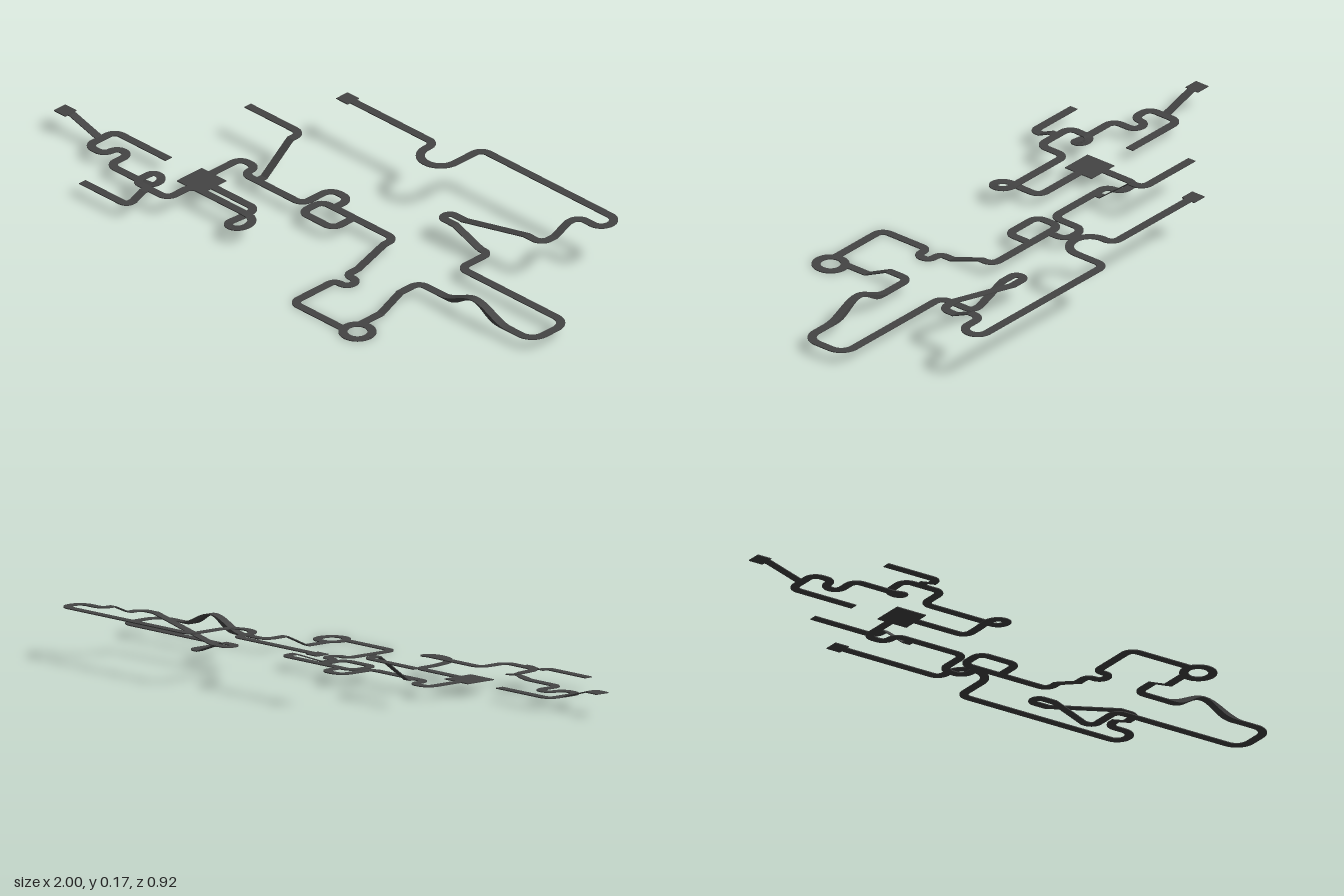
import * as THREE from 'three';

const WIDTH = 0.028;
const THICK = 0.003;
const BASE = 0.043;
const LOW = THICK;
const material = new THREE.MeshStandardMaterial({ color: 0x444444 });

// Turn [x, y, z, cornerRadius] waypoints into a centre line with rounded right-angle corners
function centreLine(points) {
  const v = points.map(([x, y, z]) => new THREE.Vector3(x, y, z));
  const flat = (a, b) => new THREE.Vector3(b.x - a.x, 0, b.z - a.z);
  const out = [v[0]];
  for (let i = 1; i < v.length - 1; i++) {
    const p = v[i], din = flat(v[i - 1], p), dout = flat(p, v[i + 1]);
    const l0 = din.length(), l1 = dout.length();
    din.normalize();
    dout.normalize();
    if (din.dot(dout) > 0.9) {
      out.push(p);
      continue;
    }
    const t = Math.min(points[i][3] ?? 0.03, l0 * 0.65, l1 * 0.65);
    const a = p.clone().lerp(v[i - 1], t / l0), b = p.clone().lerp(v[i + 1], t / l1);
    const c = a.clone().add(b).sub(p);
    const steps = 10;
    for (let k = 0; k <= steps; k++) {
      const s = k / steps, ang = s * Math.PI / 2;
      const q = c.clone().addScaledVector(dout, -t * Math.cos(ang)).addScaledVector(din, t * Math.sin(ang));
      q.y = a.y + (b.y - a.y) * s;
      out.push(q);
    }
  }
  out.push(v[v.length - 1]);
  return out.filter((p, i) => i === 0 || p.distanceTo(out[i - 1]) > 1e-5);
}

// Thin slab swept along a centre line; depth(s) is its thickness below the line
function ribbon(line, depth = () => THICK) {
  const pos = [], index = [], last = line.length - 1;
  line.forEach((p, i) => {
    const a = line[Math.max(i - 1, 0)], b = line[Math.min(i + 1, last)];
    const dx = b.x - a.x, dz = b.z - a.z, k = WIDTH / 2 / Math.hypot(dx, dz);
    const x = dz * k, z = -dx * k, low = p.y - depth(i / last);
    pos.push(p.x + x, p.y, p.z + z, p.x - x, p.y, p.z - z, p.x - x, low, p.z - z, p.x + x, low, p.z + z);
    if (i === 0) return;
    const n = 4 * i;
    for (let j = 0; j < 4; j++) {
      const m = (j + 1) % 4;
      index.push(n - 4 + j, n - 4 + m, n + m, n - 4 + j, n + m, n + j);
    }
  });
  const e = 4 * last;
  index.push(0, 2, 1, 0, 3, 2, e, e + 1, e + 2, e, e + 2, e + 3);
  const g = new THREE.BufferGeometry();
  g.setAttribute('position', new THREE.Float32BufferAttribute(pos, 3));
  g.setIndex(index);
  const faceted = g.toNonIndexed();
  faceted.computeVertexNormals();
  return faceted;
}

export function createModel() {
  const group = new THREE.Group();
  const add = (name, geometry) => {
    const mesh = new THREE.Mesh(geometry, material);
    mesh.name = name;
    group.add(mesh);
    return mesh;
  };
  const road = (name, points) => add(name, ribbon(centreLine(points)));
  const pad = (name, size, x, y, z) =>
    add(name, new THREE.BoxGeometry(size, THICK, size)).position.set(x, y - THICK / 2, z);

  // Square pads at the ends and the central plaza
  pad('upperEndPad', 0.05, -0.302, 0.17, -0.377);
  pad('leftEndPad', 0.05, -0.977, 0.077, 0.18);
  pad('plaza', 0.108, -0.42, BASE, 0.142);

  // Long road from the upper pad down its ramps to the hump
  road('upperRoad', [
    [-0.302, 0.17, -0.377], [0.081, 0.17, -0.377], [0.081, 0.17, -0.274, 0.063],
    [0.207, 0.17, -0.274, 0.063], [0.207, 0.17, -0.451], [0.807, 0.17, -0.451, 0.038],
    [0.807, 0.17, -0.375, 0.038], [0.707, 0.17, -0.375], [0.707, 0.17, -0.33],
    [0.707, 0.144, -0.27], [0.707, 0.144, -0.215], [0.64, 0.144, -0.215],
    [0.37, 0.084, -0.215], [0.307, 0.084, -0.215, 0.02], [0.307, 0.084, -0.175, 0.02],
    [0.37, 0.084, -0.175], [0.48, BASE, -0.175], [0.516, BASE, -0.175],
    [0.516, BASE, -0.051], [0.983, BASE, -0.051, 0.05], [0.983, BASE, 0.102, 0.05],
    [0.88, BASE, 0.102],
  ]);

  // Smooth hump on the straight, deeper along its slopes
  const hump = [];
  for (let i = 0; i <= 32; i++) {
    const s = i / 32;
    hump.push(new THREE.Vector3(0.88 - 0.29 * s, BASE + 0.022 * (1 - Math.cos(s * Math.PI * 2)), 0.102));
  }
  add('hump', ribbon(hump, (s) => THICK + 0.013 * Math.sin(s * Math.PI * 2) ** 2));

  // Ramp down from the hump to the roundabout
  road('roundaboutRamp', [
    [0.59, BASE, 0.102], [0.489, BASE, 0.102], [0.489, BASE, 0.185],
    [0.489, LOW, 0.27], [0.489, LOW, 0.36],
  ]);

  // Roundabout
  const ring = [];
  for (let i = 0; i <= 48; i++) {
    const a = i / 48 * Math.PI * 2;
    ring.push(new THREE.Vector3(0.515 + 0.045 * Math.cos(a), LOW, 0.397 + 0.045 * Math.sin(a)));
  }
  add('roundabout', ribbon(ring));

  // Road from the roundabout, past the side bulge, to the oval loop
  road('middleRoad', [
    [0.475, LOW, 0.415], [0.249, LOW, 0.415], [0.249, LOW, 0.23, 0.022], [0.302, LOW, 0.23, 0.024],
    [0.302, LOW, 0.18, 0.024], [0.249, LOW, 0.18, 0.022], [0.249, LOW, 0.13], [0.249, BASE, 0.015],
    [0.249, BASE, -0.033], [-0.07, BASE, -0.033], [-0.07, BASE, 0.058], [0.07, BASE, 0.058],
    [0.07, BASE, -0.033],
  ]);

  // Road from the oval loop to the plaza
  road('plazaRoad', [
    [-0.017, BASE, -0.033], [-0.017, BASE, -0.104, 0.035], [-0.102, BASE, -0.104, 0.035],
    [-0.102, BASE, 0.02], [-0.358, BASE, 0.02, 0.028], [-0.358, BASE, -0.037, 0.028],
    [-0.43, BASE, -0.037], [-0.43, BASE, 0.142],
  ]);

  // Raised dead end
  road('raisedSpur', [
    [-0.3, BASE, 0.02], [-0.3, BASE, -0.01], [-0.3, 0.132, -0.125],
    [-0.3, 0.132, -0.174], [-0.535, 0.132, -0.174],
  ]);

  // Elevated road: climbs the right loop, crosses itself, and drops through the left loop
  const high = 0.068;
  road('loopRoad', [
    [-0.42, BASE, 0.142], [-0.18, BASE, 0.142], [-0.18, BASE, 0.21], [-0.18, 0.048, 0.286, 0.036],
    [-0.108, 0.057, 0.286, 0.036], [-0.108, 0.065, 0.215, 0.036], [-0.16, high, 0.215],
    [-0.39, high, 0.215], [-0.39, high, 0.32], [-0.535, high, 0.32],
    [-0.535, 0.065, 0.232, 0.02], [-0.495, 0.058, 0.232, 0.02], [-0.495, 0.05, 0.275, 0.02],
    [-0.55, BASE, 0.275], [-0.69, BASE, 0.275], [-0.69, BASE, 0.186, 0.027],
    [-0.745, BASE, 0.186, 0.027], [-0.745, BASE, 0.241], [-0.82, BASE, 0.241],
    [-0.82, BASE, 0.121], [-0.585, BASE, 0.121],
  ]);

  // Ramp from the left pad
  road('leftRamp', [
    [-0.977, 0.077, 0.18], [-0.945, 0.077, 0.18], [-0.83, BASE, 0.18], [-0.82, BASE, 0.18],
  ]);

  // Lower left dead end
  road('lowerSpur', [
    [-0.475, high, 0.32], [-0.475, high, 0.345], [-0.475, 0.05, 0.385],
    [-0.475, 0.05, 0.415], [-0.667, 0.05, 0.415],
  ]);

  // Centre the network
  group.position.set(0.002, 0, 0.003);
  return group;
}
